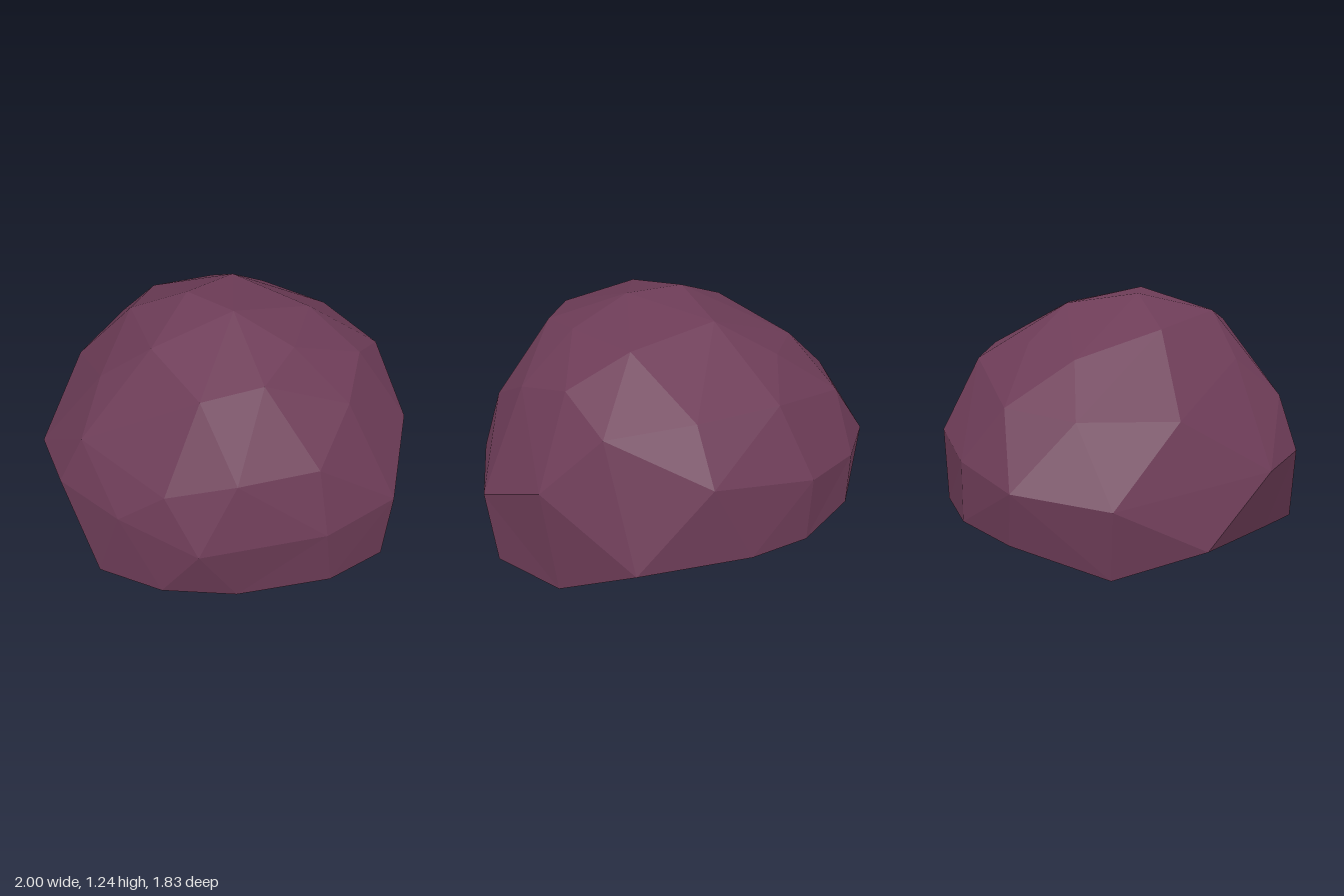
import * as THREE from 'three';
import { ConvexGeometry } from 'three/addons/geometries/ConvexGeometry.js';

// Corners of the dome, from the crown down to the widest belt
const dome = [
  // crown
  [-0.09, 1.23, 0.1], [0.2, 1.235, 0.05], [-0.16, 1.18, -0.25], [0.27, 1.135, -0.38],
  [0.49, 1.13, -0.07], [0.58, 1.075, 0.19], [0.46, 1.045, 0.46], [0.09, 1.135, 0.45], [-0.34, 1.09, 0.27],
  // shoulder
  [-0.62, 0.98, -0.07], [-0.45, 1.02, -0.35], [-0.36, 0.92, -0.65], [0.05, 0.93, -0.73], [0.46, 0.89, -0.7],
  [0.58, 1.0, -0.43], [0.76, 0.91, -0.18], [0.87, 0.73, 0.1], [0.71, 0.72, 0.45],
  [0.5, 0.65, 0.7], [0, 0.73, 0.81], [-0.13, 0.93, 0.6], [-0.64, 0.73, 0.42],
  [-0.84, 0.75, 0], [-0.78, 0.78, -0.35],
  // belt
  [-1, 0.46, -0.25], [-0.98, 0.41, 0.2], [-0.42, 0.46, 0.81], [-0.08, 0.47, 0.91],
  [0.32, 0.47, 0.84], [0.68, 0.38, 0.65], [0.97, 0.41, 0.12], [1, 0.41, -0.31],
  [0.75, 0.61, -0.64], [0.37, 0.28, -0.915], [0.01, 0.68, -0.89], [-0.5, 0.58, -0.79], [-0.8, 0.52, -0.56],
];

// Uneven lower rim
const rim = [
  [0.17, 0.03, 0.885], [0.5, 0.065, 0.74], [0.72, 0.02, 0.45], [0.96, 0.055, 0.05],
  [0.97, 0, -0.32], [0.7, 0.02, -0.63], [0.215, 0.12, -0.73], [-0.19, 0.25, -0.88],
  [-0.5, 0.22, -0.78], [-0.8, 0.23, -0.565], [-0.95, 0.2, -0.28], [-0.94, 0.08, 0.18],
  [-0.74, 0.17, 0.57], [-0.23, 0.11, 0.78],
];

// Hollow underneath
const hollow = [
  [-0.04, 0.39, 0.16], [0.5, 0.3, 0.08], [-0.04, 0.27, 0.54], [-0.51, 0.38, 0.07], [0.1, 0.36, -0.36],
];

export function createModel() {
  const group = new THREE.Group();
  const stone = new THREE.MeshStandardMaterial({ color: 0x6d3c57 });
  stone.name = 'plum stone';

  // Wrap a hull around a level round base, then move the base corners to their true places
  const base = [
    ...rim.map((p) => {
      const s = 0.9 / Math.hypot(p[0], p[2]);
      return { from: new THREE.Vector3(p[0] * s, 0, p[2] * s), to: p };
    }),
    ...hollow.map((p, i) => ({ from: new THREE.Vector3(p[0], i === 0 ? -0.15 : -0.1, p[2]), to: p })),
  ];
  const points = [...dome.map((p) => new THREE.Vector3(...p)), ...base.map((b) => b.from)];
  const geometry = new ConvexGeometry(points);
  const pos = geometry.attributes.position;
  const corner = new THREE.Vector3();
  for (let i = 0; i < pos.count; i++) {
    corner.fromBufferAttribute(pos, i);
    const hit = base.find((b) => b.from.distanceTo(corner) < 0.001);
    if (hit) pos.setXYZ(i, ...hit.to);
  }
  geometry.computeVertexNormals();

  const boulder = new THREE.Mesh(geometry, stone);
  boulder.name = 'boulder';
  group.add(boulder);
  return group;
}
